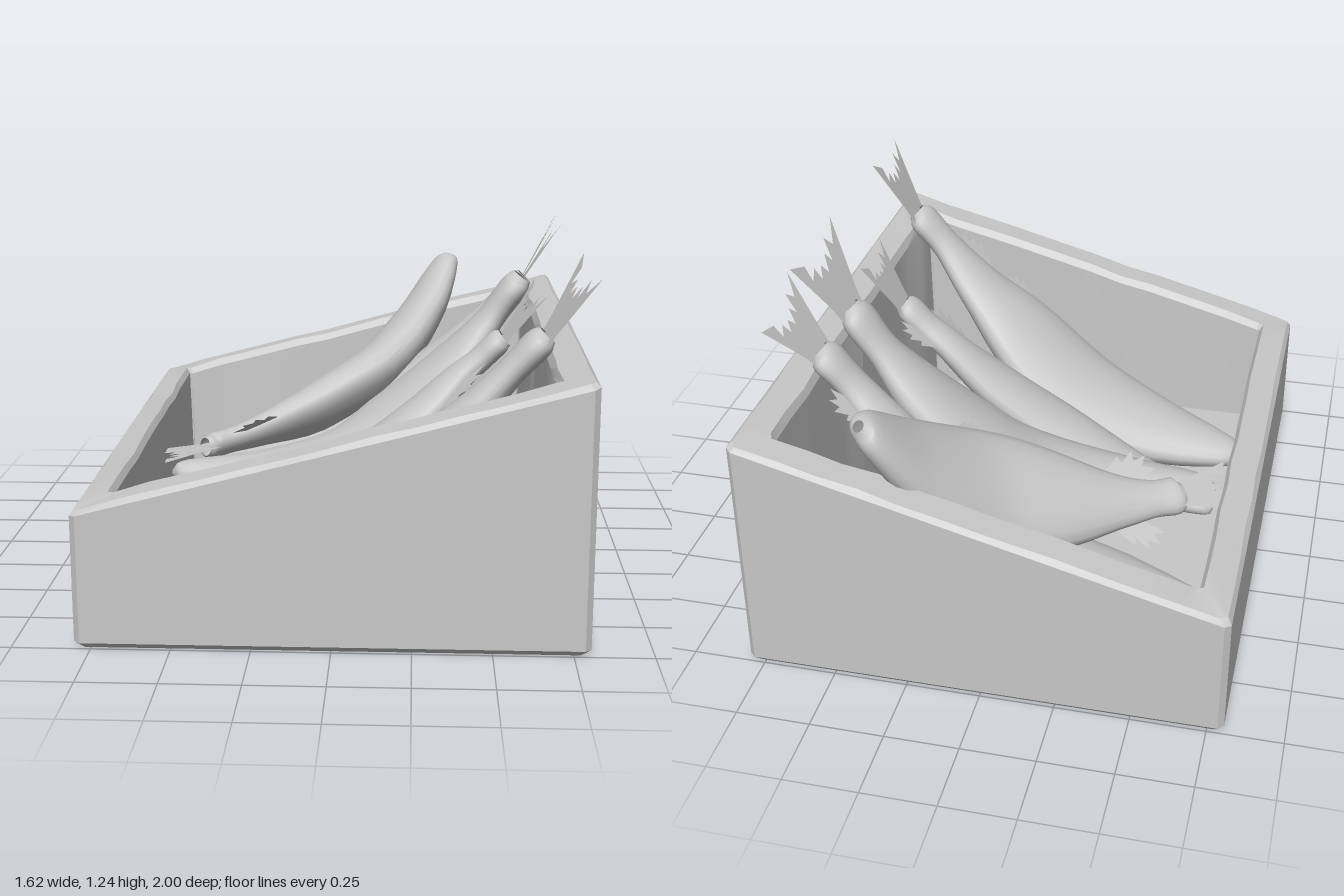
import * as THREE from 'three';
import { toCreasedNormals } from 'three/addons/utils/BufferGeometryUtils.js';

const grey = new THREE.MeshStandardMaterial({ color: 0xc8c8c8, side: THREE.DoubleSide });
grey.name = 'plain grey';
const UP = new THREE.Vector3(0, 1, 0);

// Joins loops of points (each loop counter-clockwise about the travel direction)
function loft(loops) {
  const n = loops[0].length, pos = [], idx = [];
  loops.forEach(l => l.forEach(p => pos.push(p.x, p.y, p.z)));
  for (let j = 0; j < loops.length - 1; j++) {
    for (let i = 0; i < n; i++) {
      const a = j * n + i, b = j * n + (i + 1) % n;
      idx.push(a, b, b + n, a, b + n, a + n);
    }
  }
  const g = new THREE.BufferGeometry();
  g.setAttribute('position', new THREE.Float32BufferAttribute(pos, 3));
  g.setIndex(idx);
  g.computeVertexNormals();
  return g;
}

// Rectangle loop with cut corners and a slightly worn outline
function rectLoop(hx, hz, cut, height, wear) {
  const pts = [], n = 12, x = hx - cut, z = hz - cut;
  const sides = [[hx, z, hx, -z], [x, -hz, -x, -hz], [-hx, -z, -hx, z], [-x, hz, x, hz]];
  sides.forEach(([x0, z0, x1, z1], s) => {
    for (let k = 0; k <= n; k++) {
      const t = k / n, px = x0 + (x1 - x0) * t, pz = z0 + (z1 - z0) * t;
      const w = wear * (Math.sin(k * 2.3 + s * 1.7) + Math.sin(k * 1.1 + s * 4)) / 2;
      const inset = 1 - Math.abs(w);
      pts.push(new THREE.Vector3(px * inset, height(px) + w * 0.4, pz * inset));
    }
  });
  return pts;
}

// Sloping open box: underside, walls, worn rim, cavity and floor
function makeCrate() {
  const rim = d => x => 0.66 + 0.262 * x - d;
  const flat = y => () => y;
  const loops = [
    rectLoop(0.002, 0.002, 0.001, flat(0.002), 0),
    rectLoop(0.79, 0.985, 0.02, flat(0.002), 0),
    rectLoop(0.805, 1.0, 0.02, flat(0.02), 0),
    rectLoop(0.805, 1.0, 0.02, rim(0.02), 0),
    rectLoop(0.793, 0.988, 0.02, rim(0.003), 0.008),
    rectLoop(0.705, 0.89, 0.015, rim(0.0), 0.012),
    rectLoop(0.69, 0.87, 0.008, rim(0.025), 0.008),
    rectLoop(0.677, 0.858, 0.004, flat(0.05), 0),
    rectLoop(0.002, 0.002, 0.001, flat(0.05), 0),
  ];
  const crate = new THREE.Mesh(toCreasedNormals(loft(loops), 0.4), grey);
  crate.name = 'crate';
  return crate;
}

// Flat jagged plate placed with its own axes
function plate(name, outline, origin, along, across) {
  const shape = new THREE.Shape(outline.map(([u, v]) => new THREE.Vector2(u, v)));
  const normal = along.clone().cross(across).normalize();
  const g = new THREE.ShapeGeometry(shape);
  g.applyMatrix4(new THREE.Matrix4().makeBasis(along, across, normal).setPosition(origin));
  const mesh = new THREE.Mesh(g, grey);
  mesh.name = name;
  return mesh;
}

const TAIL = [[-0.05, -0.07], [0.04, -0.09], [0.25, -0.175], [0.22, -0.1], [0.16, -0.1], [0.19, -0.06],
  [0.14, -0.05], [0.18, -0.02], [0.14, 0], [0.2, 0.03], [0.16, 0.05], [0.24, 0.07], [0.2, 0.1],
  [0.28, 0.165], [0.04, 0.09], [-0.05, 0.07]];
const FIN = [[-0.08, -0.02], [0.02, 0.08], [0.03, 0.05], [0.08, 0.1], [0.08, 0.06], [0.13, 0.08],
  [0.11, 0.04], [0.16, 0.03], [0.08, -0.02]];

// stations: [x, y, z, half width] from head to tail; tail: { dir, size, twist }; fins: [t, side, scale]
function makeFish(name, stations, tail, fins, roll = 0) {
  const fish = new THREE.Group();
  fish.name = name;
  const path = new THREE.CatmullRomCurve3(stations.map(s => new THREE.Vector3(s[0], s[1], s[2])), false, 'catmullrom');
  const width = new THREE.CatmullRomCurve3(stations.map(s => new THREE.Vector3(s[3], 0, 0)), false, 'catmullrom');
  const frame = t => {
    const T = path.getTangent(t);
    const W = T.clone().cross(UP).normalize().applyAxisAngle(T, roll);
    const hw = Math.max(0.004, width.getPoint(t).x);
    return { P: path.getPoint(t), T, W, N: T.clone().cross(W), hw };
  };

  // Flattened body
  const rings = 32, seg = 18, loops = [];
  for (let j = 0; j <= rings; j++) {
    const { P, W, N, hw } = frame(j / rings);
    const th = Math.min(hw, hw * 0.4 + 0.018), loop = [];
    for (let i = 0; i < seg; i++) {
      const a = i / seg * Math.PI * 2;
      loop.push(P.clone().addScaledVector(W, Math.cos(a) * hw).addScaledVector(N, Math.sin(a) * th));
    }
    loops.push(loop);
  }
  const body = new THREE.Mesh(loft(loops), grey);
  body.name = 'fishBody';
  fish.add(body);

  // Tail fan
  const end = frame(1), dir = new THREE.Vector3(...tail.dir).normalize();
  const across = end.W.clone().addScaledVector(dir, -end.W.dot(dir)).normalize().applyAxisAngle(dir, tail.twist);
  fish.add(plate('tailFan', TAIL.map(p => p.map(v => v * tail.size)), end.P, dir, across));

  // Side fins
  for (const [t, side, scale] of fins) {
    const { P, T, W, hw } = frame(t);
    const out = W.clone().multiplyScalar(side);
    fish.add(plate('fin', FIN.map(p => p.map(v => v * scale)), P.addScaledVector(out, hw * 0.95), T, out));
  }
  return fish;
}

export function createModel() {
  const model = new THREE.Group();
  model.name = 'crateOfFish';
  model.add(makeCrate());

  model.add(makeFish('frontFish', [
    [-0.68, 0.11, 0.46, 0.01], [-0.62, 0.11, 0.47, 0.085], [-0.3, 0.15, 0.515, 0.2], [0, 0.27, 0.555, 0.245],
    [0.25, 0.49, 0.6, 0.205], [0.42, 0.66, 0.62, 0.125], [0.55, 0.81, 0.64, 0.075], [0.64, 0.91, 0.645, 0.08],
    [0.67, 0.94, 0.645, 0.04],
  ], { dir: [0.14, 0.24, 0.035], size: 1, twist: 0.1 }, [[0.52, 1, 0.8], [0.64, 1, 1]]));

  model.add(makeFish('backFish', [
    [-0.68, 0.12, -0.53, 0.01], [-0.62, 0.12, -0.53, 0.085], [-0.38, 0.15, -0.54, 0.18], [-0.1, 0.25, -0.55, 0.19],
    [0.2, 0.47, -0.54, 0.16], [0.4, 0.66, -0.51, 0.1], [0.55, 0.81, -0.48, 0.07], [0.64, 0.91, -0.48, 0.08],
    [0.67, 0.94, -0.48, 0.04],
  ], { dir: [0.14, 0.21, -0.04], size: 0.87, twist: -0.1 }, [[0.32, -1, 1], [0.7, -1, 0.8]]));

  model.add(makeFish('middleFish', [
    [-0.64, 0.27, -0.03, 0.01], [-0.58, 0.27, -0.035, 0.07], [-0.3, 0.27, -0.06, 0.14], [0, 0.32, -0.11, 0.2],
    [0.22, 0.46, -0.18, 0.225], [0.4, 0.65, -0.22, 0.16], [0.53, 0.82, -0.235, 0.085], [0.615, 0.94, -0.235, 0.085],
    [0.645, 0.98, -0.235, 0.04],
  ], { dir: [0.13, 0.25, 0], size: 1, twist: -0.12 }, [[0.55, -1, 0.8]]));

  model.add(makeFish('smallFish', [
    [-0.62, 0.12, 0.07, 0.01], [-0.57, 0.12, 0.08, 0.05], [-0.3, 0.17, 0.14, 0.12], [0, 0.33, 0.165, 0.14],
    [0.25, 0.52, 0.14, 0.12], [0.4, 0.67, 0.115, 0.08], [0.48, 0.74, 0.11, 0.065], [0.54, 0.8, 0.11, 0.065],
    [0.565, 0.82, 0.11, 0.04],
  ], { dir: [0.12, 0.18, 0.02], size: 0.85, twist: 0.1 }, [[0.58, 1, 1.1], [0.7, -1, 0.8]]));

  // Fish lying across the others, tilted on its side with its head up at the back
  model.add(makeFish('topFish', [
    [0.385, 0.95, -0.92, 0.02], [0.365, 0.905, -0.88, 0.085], [0.26, 0.715, -0.74, 0.165], [0.09, 0.53, -0.57, 0.215],
    [-0.12, 0.425, -0.44, 0.185], [-0.32, 0.365, -0.32, 0.105], [-0.44, 0.34, -0.24, 0.07], [-0.51, 0.33, -0.19, 0.07],
    [-0.535, 0.33, -0.17, 0.04],
  ], { dir: [-0.15, -0.01, 0.08], size: 0.85, twist: -0.5 }, [[0.64, -1, 1], [0.64, 1, 0.9], [0.35, -1, 0.6]], 0.6));

  return model;
}
